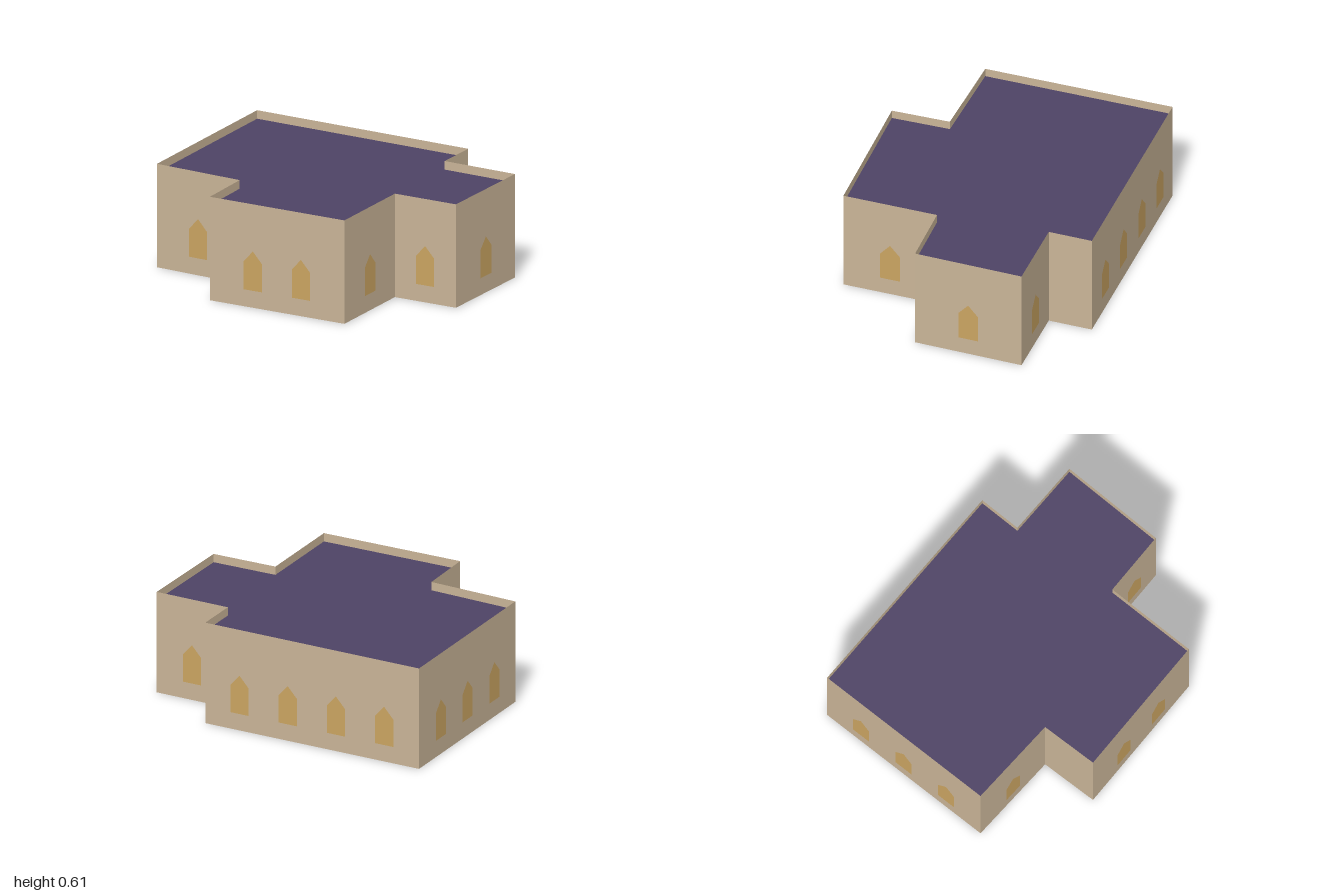
import * as THREE from 'three';

const WALL_HEIGHT = 0.605;
const ROOF_HEIGHT = 0.555;
const WINDOW_SPACING = 0.306;

// Footprint corners [x, z], each with the window count of the wall that starts there
const corners = [
  [0.30, -1.0, 4],
  [0.83, 0.25, 0],
  [0.595, 0.347, 1],
  [0.77, 0.765, 1],
  [0.185, 1.0, 1],
  [0.027, 0.645, 1],
  [-0.482, 0.858, 2],
  [-0.83, 0.075, 0],
  [-0.52, -0.063, 1],
  [-0.715, -0.57, 3],
];

// Pointed window outline, base at y = 0.1
function windowGeometry() {
  const w = 0.058;
  return new THREE.ShapeGeometry(new THREE.Shape([
    new THREE.Vector2(-w, 0.1),
    new THREE.Vector2(w, 0.1),
    new THREE.Vector2(w, 0.265),
    new THREE.Vector2(0, 0.33),
    new THREE.Vector2(-w, 0.265),
  ]));
}

export function createModel() {
  const wallMat = new THREE.MeshStandardMaterial({ color: 0xcab598, side: THREE.DoubleSide });
  wallMat.name = 'sandstone';
  const roofMat = new THREE.MeshStandardMaterial({ color: 0x4e4365, side: THREE.DoubleSide });
  roofMat.name = 'purple slate';
  const glassMat = new THREE.MeshStandardMaterial({ color: 0xcba562 });
  glassMat.name = 'amber glass';

  const model = new THREE.Group();
  model.name = 'building';
  const pane = windowGeometry();

  // One thin wall per footprint edge, with its row of centred windows
  corners.forEach(([x0, z0, count], i) => {
    const [x1, z1] = corners[(i + 1) % corners.length];
    const dx = x1 - x0, dz = z1 - z0;

    const side = new THREE.Group();
    side.name = `wallSide${i + 1}`;
    side.position.set((x0 + x1) / 2, 0, (z0 + z1) / 2);
    side.rotation.y = Math.atan2(dz, -dx);

    const wall = new THREE.Mesh(new THREE.PlaneGeometry(Math.hypot(dx, dz), WALL_HEIGHT), wallMat);
    wall.name = 'wall';
    wall.position.y = WALL_HEIGHT / 2;
    side.add(wall);

    for (let k = 0; k < count; k++) {
      const win = new THREE.Mesh(pane, glassMat);
      win.name = 'window';
      win.position.set((k - (count - 1) / 2) * WINDOW_SPACING, 0, 0.003);
      side.add(win);
    }
    model.add(side);
  });

  // Flat roof set a little below the wall tops
  const outline = new THREE.Shape(corners.map(([x, z]) => new THREE.Vector2(x, -z)));
  const roof = new THREE.Mesh(new THREE.ShapeGeometry(outline).rotateX(-Math.PI / 2), roofMat);
  roof.name = 'roof';
  roof.position.y = ROOF_HEIGHT;
  model.add(roof);

  return model;
}
